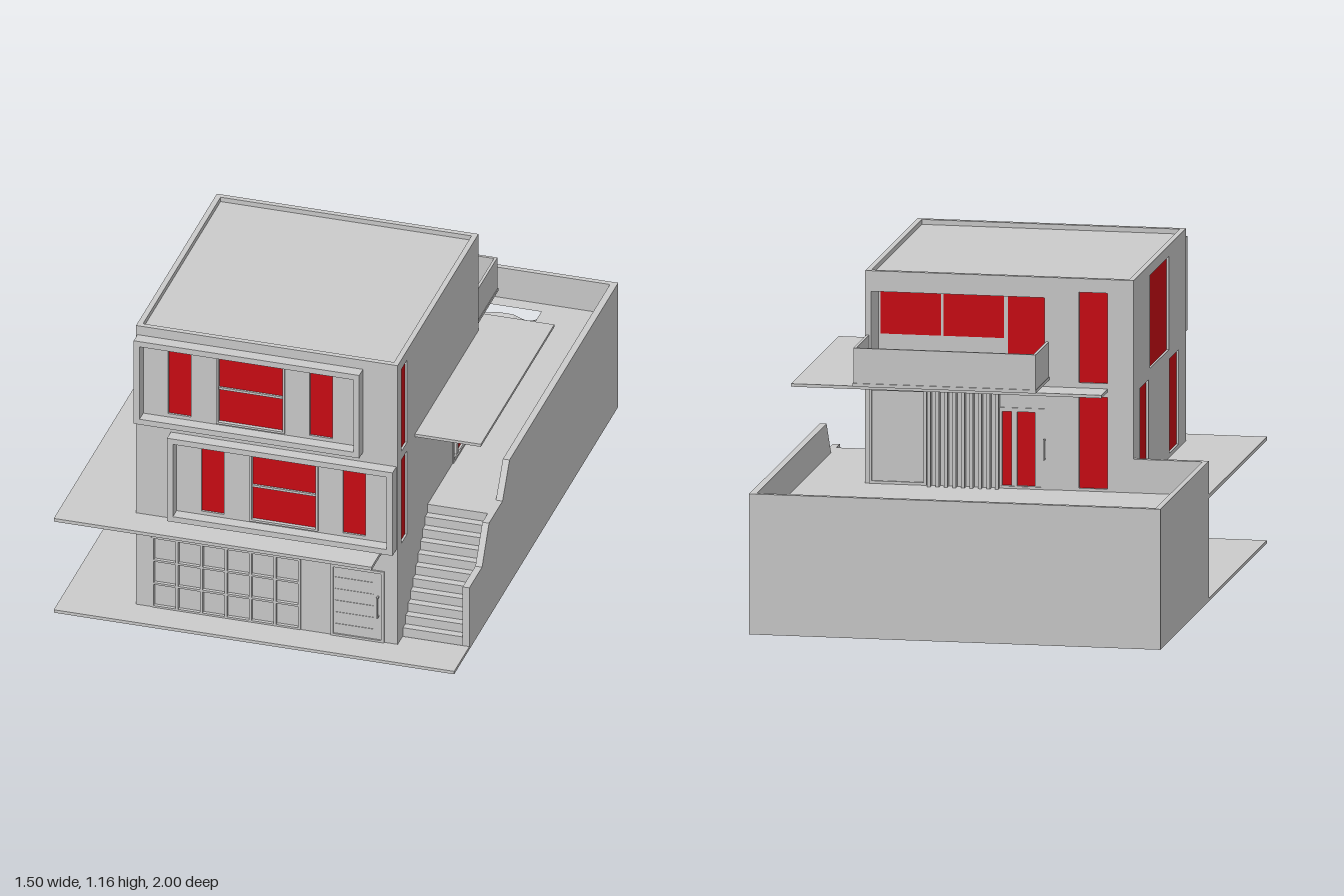
import * as THREE from 'three';

const grey = new THREE.MeshStandardMaterial({ color: 0xcccccc });
const red = new THREE.MeshStandardMaterial({ color: 0xcc0b14 });
const waterMat = new THREE.MeshStandardMaterial({ color: 0xcccccc, flatShading: true, side: THREE.DoubleSide });

// Box given by its limits on each axis
function box(parent, name, x0, x1, y0, y1, z0, z1, mat = grey) {
  const m = new THREE.Mesh(new THREE.BoxGeometry(x1 - x0, y1 - y0, z1 - z0), mat);
  m.position.set((x0 + x1) / 2, (y0 + y1) / 2, (z0 + z1) / 2);
  m.name = name;
  parent.add(m);
  return m;
}

const toShape = pts => new THREE.Shape(pts.map(p => new THREE.Vector2(p[0], p[1])));
const rect = (x0, x1, y0, y1) => [[x0, y0], [x1, y0], [x1, y1], [x0, y1]];

// Extruded outline with rectangular or polygonal holes
function extrude(pts, depth, holes = []) {
  const s = toShape(pts);
  for (const h of holes) s.holes.push(toShape(h));
  return new THREE.ExtrudeGeometry(s, { depth, bevelEnabled: false });
}

// Plan outline of [x, z] points raised from y0 to y1
function slab(parent, name, pts, y0, y1, holes = []) {
  const flip = l => l.map(p => [p[0], -p[1]]);
  const g = extrude(flip(pts), y1 - y0, holes.map(flip)).rotateX(-Math.PI / 2).translate(0, y0, 0);
  const m = new THREE.Mesh(g, grey);
  m.name = name;
  parent.add(m);
}

// Side outline of [z, y] points spread from x0 to x1
function sideProfile(parent, name, pts, x0, x1) {
  const g = extrude(pts.map(p => [-p[0], p[1]]), x1 - x0).rotateY(Math.PI / 2).translate(x0, 0, 0);
  const m = new THREE.Mesh(g, grey);
  m.name = name;
  parent.add(m);
}

// House wall with openings; local x runs along it and local z points outward
function facade(parent, name, angle, x, z, u0, u1, windows, openings = []) {
  const f = new THREE.Group();
  f.name = name;
  f.position.set(x, 0, z);
  f.rotation.y = angle;
  const holes = [...windows, ...openings].map(w => rect(...w));
  const wall = new THREE.Mesh(extrude(rect(u0, u1, 0, 1.165), 0.02, holes).translate(0, 0, -0.02), grey);
  wall.name = name + 'Panel';
  f.add(wall);
  for (const w of windows) box(f, 'windowPane', ...w, -0.016, -0.008, red);
  parent.add(f);
  return f;
}

// Rectangular rim
function rim(parent, name, u0, u1, y0, y1, t, z0, z1) {
  const m = new THREE.Mesh(extrude(rect(u0, u1, y0, y1), z1 - z0,
    [rect(u0 + t, u1 - t, y0 + t, y1 - t)]).translate(0, 0, z0), grey);
  m.name = name;
  parent.add(m);
}

function handle(parent, u, y0, y1) {
  box(parent, 'doorHandle', u - 0.003, u + 0.003, y0, y1, 0.01, 0.016);
  for (const y of [y0, y1 - 0.006]) box(parent, 'handleMount', u - 0.003, u + 0.003, y, y + 0.006, 0, 0.011);
}

function buildFront(house) {
  const bays = [[-0.475, 0.785], [-0.35, 0.403]];
  const windows = [];
  for (const [x, y] of bays) {
    windows.push([x + 0.115, x + 0.2, y + 0.036, y + 0.307], [x + 0.645, x + 0.73, y + 0.036, y + 0.307]);
    windows.push([x + 0.305, x + 0.545, y + 0.036, y + 0.168], [x + 0.305, x + 0.545, y + 0.177, y + 0.307]);
  }
  windows.push([-0.415, -0.145, 0.305, 0.35], [-0.138, 0.13, 0.305, 0.35]);
  const f = facade(house, 'frontWall', 0, 0, 0.875, -0.48, 0.5, windows, [[-0.418, 0.132, 0.015, 0.3]]);
  // Projecting frames round each upper storey
  for (const [x, y] of bays) {
    rim(f, 'bayFrame', x, x + 0.845, y, y + 0.343, 0.022, 0, 0.046);
    rim(f, 'windowFrame', x + 0.297, x + 0.553, y + 0.029, y + 0.315, 0.008, 0, 0.008);
  }
  // Garage door grid
  box(f, 'garageDoor', -0.418, 0.132, 0.015, 0.3, -0.018, -0.01);
  for (let i = 0; i <= 6; i++) {
    const u = -0.418 + i * 0.0917;
    box(f, 'garageMullion', u - 0.005, u + 0.005, 0.015, 0.3, -0.012, 0.003);
  }
  for (const y of [0.015, 0.11, 0.205, 0.3, 0.352]) box(f, 'garageRail', -0.42, 0.135, y - 0.004, y + 0.004, -0.012, 0.003);
  // Entrance door with thin horizontal ribs
  rim(f, 'entranceFrame', 0.25, 0.45, 0.01, 0.305, 0.01, 0, 0.006);
  for (let i = 1; i < 6; i++) box(f, 'entranceRib', 0.265, 0.41, 0.01 + i * 0.048, 0.013 + i * 0.048, 0, 0.002);
  handle(f, 0.427, 0.115, 0.2);
}

function buildRight(house) {
  const f = facade(house, 'rightWall', Math.PI / 2, 0.5, 0, -0.855, 0.09, [
    [-0.83, -0.76, 0.785, 1.125], [-0.83, -0.76, 0.405, 0.75],
    [-0.19, -0.155, 0.4, 0.67], [-0.135, -0.07, 0.4, 0.67]]);
  rim(f, 'sideDoorFrame', -0.205, -0.015, 0.39, 0.685, 0.008, 0, 0.004);
  handle(f, -0.035, 0.5, 0.575);
}

function buildLeft(house) {
  facade(house, 'leftWall', -Math.PI / 2, -0.48, 0, -0.09, 0.855, [
    [0.2, 0.55, 0.785, 1.125], [0.01, 0.165, 0.405, 0.75], [0.565, 0.735, 0.405, 0.75]]);
}

function buildBack(house) {
  const f = facade(house, 'backWall', Math.PI, 0, -0.11, -0.5, 0.48, [
    [0.28, 0.385, 0.785, 1.115], [0.28, 0.385, 0.4, 0.735],
    [0.0, 0.035, 0.4, 0.67], [0.055, 0.12, 0.4, 0.67]], [[-0.478, 0.155, 0.8, 1.09]]);
  rim(f, 'backDoorFrame', -0.012, 0.175, 0.39, 0.685, 0.008, 0, 0.004);
  handle(f, 0.155, 0.5, 0.575);
  // Fixed panel and vertical fins beside the door
  rim(f, 'sidePanelFrame', -0.485, -0.275, 0.39, 0.74, 0.01, 0, 0.006);
  for (let i = 0; i < 9; i++) box(f, 'fin', -0.268 + i * 0.031, -0.256 + i * 0.031, 0.39, 0.755, 0, 0.03);
  // Recessed room front behind the balcony
  box(f, 'recessBack', -0.478, 0.155, 0.79, 1.1, -0.155, -0.14);
  box(f, 'recessFloor', -0.478, 0.155, 0.79, 0.8, -0.15, -0.01);
  box(f, 'recessCeiling', -0.478, 0.155, 1.09, 1.1, -0.15, -0.01);
  box(f, 'recessSide', -0.488, -0.478, 0.79, 1.1, -0.15, -0.01);
  box(f, 'recessSide', 0.155, 0.165, 0.79, 1.1, -0.15, -0.01);
  for (const [a, b, y] of [[-0.47, -0.25, 0.91], [-0.24, -0.02, 0.91], [-0.005, 0.145, 0.805]])
    box(f, 'balconyWindow', a, b, y, 1.07, -0.142, -0.136, red);
  // Balcony tray with solid railings
  box(f, 'balconyFloor', -0.497, 0.172, 0.79, 0.802, 0, 0.252);
  box(f, 'balconyRailFront', -0.495, 0.17, 0.802, 0.93, 0.237, 0.247);
  for (const u of [-0.495, 0.16]) box(f, 'balconyRailSide', u, u + 0.01, 0.802, 0.93, 0, 0.24);
}

// Rippled pool surface from a jittered grid
function buildWater(parent) {
  let seed = 7;
  const rnd = () => (seed = (seed * 16807) % 2147483647) / 2147483647 - 0.5;
  const g = new THREE.PlaneGeometry(0.95, 0.425, 18, 9).rotateX(-Math.PI / 2);
  const p = g.attributes.position;
  for (let i = 0; i < p.count; i++) {
    const edge = Math.abs(p.getX(i)) > 0.47 || Math.abs(p.getZ(i)) > 0.21;
    p.setY(i, rnd() * 0.03);
    if (!edge) p.setXYZ(i, p.getX(i) + rnd() * 0.045, p.getY(i), p.getZ(i) + rnd() * 0.04);
  }
  g.computeVertexNormals();
  const m = new THREE.Mesh(g, waterMat);
  m.name = 'poolWater';
  m.position.set(0.01, 0.355, -0.7125);
  parent.add(m);
}

function buildTerrace(root) {
  const t = new THREE.Group();
  t.name = 'terrace';
  const plan = [[-0.75, -1], [0.725, -1], [0.725, 0.48], [0.5, 0.48], [0.5, -0.11],
    [-0.48, -0.11], [-0.48, -0.09], [-0.75, -0.09]];
  slab(t, 'terraceBase', plan, 0, 0.3);
  slab(t, 'terraceDeck', plan, 0.3, 0.39, [rect(-0.465, 0.485, -0.925, -0.5)]);
  buildWater(t);
  // Parapets
  box(t, 'leftParapet', -0.75, -0.73, 0.39, 0.513, -1, -0.09);
  box(t, 'backParapet', -0.73, 0.725, 0.39, 0.513, -1, -0.98);
  box(t, 'frontParapet', -0.73, -0.48, 0.39, 0.513, -0.11, -0.09);
  sideProfile(t, 'stairWall', [[-1, 0], [0.815, 0], [0.815, 0.255], [0.66, 0.255], [0.575, 0.39],
    [0.41, 0.39], [0.325, 0.513], [-1, 0.513]], 0.725, 0.75);
  // Staircase
  const steps = [[0.48, 0], [0.81, 0]];
  for (let i = 0; i < 11; i++) {
    const y = 0.045 + i * 0.0345, z = 0.81 - i * 0.03;
    steps.push([z, y], [z - 0.03, y]);
  }
  sideProfile(t, 'staircase', steps, 0.5, 0.725);
  root.add(t);
}

export function createModel() {
  const root = new THREE.Group();
  root.name = 'house';
  const house = new THREE.Group();
  house.name = 'mainBuilding';
  root.add(house);
  buildFront(house);
  buildRight(house);
  buildLeft(house);
  buildBack(house);
  box(house, 'roof', -0.46, 0.48, 1.135, 1.147, -0.09, 0.855);

  buildTerrace(root);
  // Ground paving and the flat slabs that shade the walls
  slab(root, 'groundSlab', [[-0.75, 1], [0.75, 1], [0.75, 0.815], [0.5, 0.815], [0.5, 0.875],
    [-0.48, 0.875], [-0.48, -0.09], [-0.75, -0.09]], 0, 0.012);
  slab(root, 'frontCanopy', [[-0.75, 1], [0.44, 1], [0.44, 0.875], [-0.48, 0.875],
    [-0.48, -0.09], [-0.75, -0.09]], 0.377, 0.39);
  slab(root, 'rearCanopy', [[0.5, 0.665], [0.747, 0.665], [0.747, -0.23], [-0.385, -0.23],
    [-0.385, -0.11], [0.5, -0.11]], 0.755, 0.766);
  return root;
}
